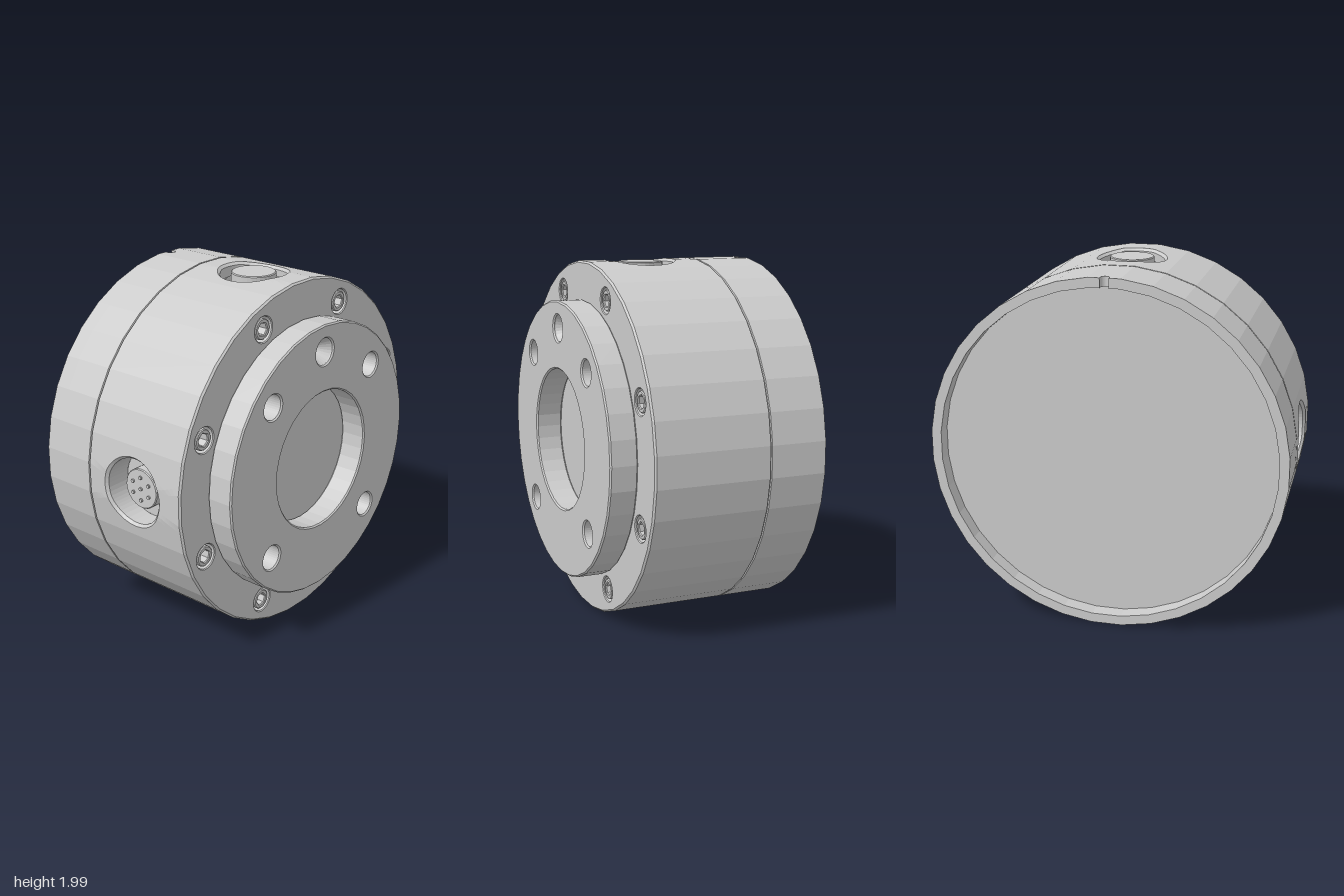
import * as THREE from 'three';
import { ParametricGeometry } from 'three/addons/geometries/ParametricGeometry.js';

const RAD = Math.PI / 180;
const SIDES = 36, HALF = 5 * RAD;           // facets of the round housing
const SEAM = -0.24, FRONT = 0.415, BACK = -0.57, FLOOR = -0.48;
const PORT_Z = 0.07, PORT_R = 0.2, PATCH = 15 * RAD;

const mat = new THREE.MeshStandardMaterial({ color: 0xcccccc, flatShading: true, side: THREE.DoubleSide });

function add(parent, name, geometry, x = 0, y = 0, z = 0) {
  const mesh = new THREE.Mesh(geometry, mat);
  mesh.name = name;
  mesh.position.set(x, y, z);
  parent.add(mesh);
  return mesh;
}

// Revolve [radius, z] points around the z axis
function revolve(points, segments = SIDES, start = HALF, length = Math.PI * 2) {
  const profile = points.map(([r, z]) => new THREE.Vector2(r, z));
  return new THREE.LatheGeometry(profile, segments, start, length).rotateX(Math.PI / 2);
}

function circle(r, x = 0, y = 0, start = 0, Type = THREE.Path) {
  return new Type().absarc(x, y, r, start, start + Math.PI * 2, false);
}

function extrude(shape, depth, bevel) {
  const geometry = new THREE.ExtrudeGeometry(shape, {
    depth: depth - 2 * bevel, curveSegments: SIDES / 2, bevelEnabled: bevel > 0,
    bevelSize: bevel, bevelThickness: bevel, bevelOffset: -bevel, bevelSegments: 1,
  });
  return geometry.translate(0, 0, bevel);
}

// Radius of the faceted wall at an angle measured from a facet centre
function wallRadius(a) {
  const w = 2 * HALF;
  return Math.cos(HALF) / Math.cos(a - Math.round(a / w) * w);
}

// Wall patch around a round port, continued into its chamfer and bore
function portWall() {
  const zLow = SEAM - PORT_Z, zHigh = FRONT - 0.01 - PORT_Z;
  const corners = [[PATCH, zLow], [PATCH, zHigh], [-PATCH, zHigh], [-PATCH, zLow]];
  return new ParametricGeometry((u, v, target) => {
    const step = Math.round(u * 48) % 48, side = Math.floor(step / 12), f = (step % 12) / 12;
    const a = corners[side], b = corners[(side + 1) % 4];
    const outer = [a[0] + (b[0] - a[0]) * f, a[1] + (b[1] - a[1]) * f];
    const t = Math.atan2(outer[1], outer[0]);
    const rim = [Math.asin(PORT_R * Math.cos(t)), PORT_R * Math.sin(t)];
    const row = Math.round(v * 8);
    if (row <= 6) {
      const k = row / 6;
      const angle = outer[0] + (rim[0] - outer[0]) * k;
      const z = outer[1] + (rim[1] - outer[1]) * k;
      const r = wallRadius(angle);
      target.set(r * Math.sin(angle), r * Math.cos(angle), PORT_Z + z);
    } else {
      const y = row === 7 ? wallRadius(rim[0]) * Math.cos(rim[0]) - 0.015 : 0.84;
      target.set(0.185 * Math.cos(t), y, PORT_Z + 0.185 * Math.sin(t));
    }
  }, 48, 8);
}

function lathePart(points, segments) {
  return new THREE.LatheGeometry(points.map(([r, y]) => new THREE.Vector2(r, y)), segments);
}

function makePort(name, angle) {
  const port = new THREE.Group();
  port.name = name;
  port.rotation.z = angle;
  add(port, 'portWall', portWall());
  return port;
}

export function createModel() {
  const model = new THREE.Group();
  model.name = 'roundHousing';
  const body = new THREE.Group();
  body.name = 'body';
  body.position.y = 1;
  model.add(body);

  // Housing wall between the three ports
  for (const [from, to] of [[15, 75], [105, 165], [195, 345]]) {
    add(body, 'housingWall', revolve([[1, SEAM], [1, FRONT - 0.01]],
      (to - from) / 10, Math.PI + from * RAD, (to - from) * RAD));
  }
  add(body, 'frontChamfer', revolve([[1, FRONT - 0.01], [0.99, FRONT]]));

  // Rear ring with seam groove, recessed floor and notched rim
  add(body, 'rearRing', revolve([[1, SEAM], [0.992, SEAM - 0.003], [0.992, SEAM - 0.007],
    [1, SEAM - 0.01], [1, FLOOR]]));
  add(body, 'rearFloor', revolve([[0, FLOOR], [0.945, FLOOR]]));
  add(body, 'rearRim', revolve([[0.945, FLOOR], [0.945, BACK], [1, BACK], [1, FLOOR]],
    SIDES - 1, Math.PI + HALF, 350 * RAD));
  const w = Math.sin(HALF), n = 0.025;
  const notched = new THREE.Shape();
  notched.moveTo(-w, FLOOR).lineTo(-w, BACK).lineTo(-n, BACK).lineTo(-n, BACK + 0.02);
  notched.absarc(0, BACK + 0.02, n, Math.PI, 0, true);
  notched.lineTo(n, BACK).lineTo(w, BACK).lineTo(w, FLOOR);
  const thickness = 0.055 * Math.cos(HALF);
  add(body, 'notchedRim', extrude(notched, thickness, 0).rotateX(Math.PI / 2), 0, Math.cos(HALF), 0);

  // Front face with eight counterbored socket screws
  const face = circle(0.99, 0, 0, HALF, THREE.Shape);
  const head = circle(0.058, 0, 0, 0, THREE.Shape);
  head.holes.push(new THREE.Path(Array.from({ length: 6 }, (_, i) =>
    new THREE.Vector2(0.036 * Math.cos(i * Math.PI / 3), 0.036 * Math.sin(i * Math.PI / 3)))));
  const headGeometry = extrude(head, 0.06, 0.005);
  const boreGeometry = revolve([[0.075, 0], [0.07, -0.005], [0.07, -0.065], [0, -0.065]], SIDES, 0);
  for (let i = 0; i < 8; i++) {
    const a = (22.5 + 45 * i) * RAD, x = 0.872 * Math.cos(a), y = 0.872 * Math.sin(a);
    face.holes.push(circle(0.075, x, y));
    add(body, 'screwBore', boreGeometry, x, y, FRONT);
    add(body, 'screwHead', headGeometry, x, y, FRONT - 0.065).rotation.z = a;
  }
  add(body, 'frontFace', new THREE.ShapeGeometry(face, SIDES / 2), 0, 0, FRONT);

  // Raised flange with central bore, four holes and a conical locating hole
  const flange = circle(0.783, 0, 0, 0, THREE.Shape);
  flange.holes.push(circle(0.4));
  for (const x of [-0.44, 0.44]) for (const y of [-0.44, 0.44]) flange.holes.push(circle(0.07, x, y));
  flange.holes.push(circle(0.075, 0, 0.63));
  add(body, 'flange', extrude(flange, 0.155, 0.008), 0, 0, FRONT);
  add(body, 'locatingCone', revolve([[0.075, 0.14], [0, 0.02]], 24), 0, 0.63, FRONT);

  // Top port with push button
  const top = makePort('topPort', 0);
  add(top, 'button', lathePart([[0.185, 0.84], [0.173, 0.84], [0.173, 0.93], [0.155, 0.94],
    [0.155, 0.86], [0.125, 0.86], [0.125, 0.985], [0.12, 0.99], [0, 0.99]], 32), 0, 0, PORT_Z);
  body.add(top);

  // Side and bottom ports with pin connectors
  const pin = new THREE.CylinderGeometry(0.01, 0.01, 0.02, 10);
  for (const [name, angle] of [['sidePort', Math.PI / 2], ['bottomPort', Math.PI]]) {
    const port = makePort(name, angle);
    add(port, 'connector', lathePart([[0.185, 0.84], [0.113, 0.84], [0.113, 0.92],
      [0.108, 0.925], [0, 0.925]], 32), 0, 0, PORT_Z);
    add(port, 'pin', pin, 0, 0.925, PORT_Z);
    for (let i = 0; i < 6; i++) {
      const a = i * Math.PI / 3;
      add(port, 'pin', pin, 0.065 * Math.cos(a), 0.925, PORT_Z + 0.065 * Math.sin(a));
    }
    body.add(port);
  }
  return model;
}
